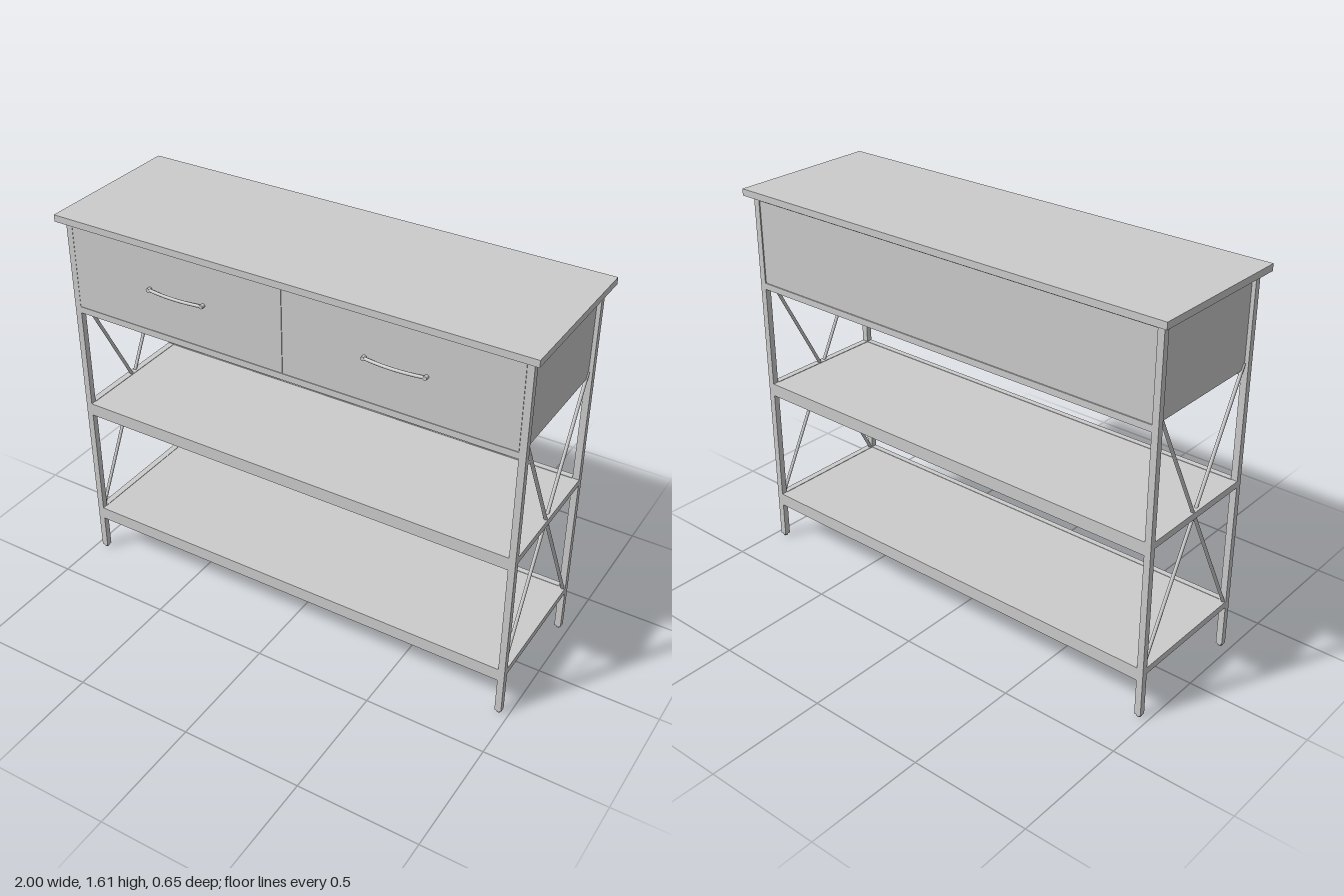
import * as THREE from 'three';

export function createModel() {
  const root = new THREE.Group();
  const mat = new THREE.MeshStandardMaterial({ color: 0xcccccc });

  const add = (name, geometry) => {
    const mesh = new THREE.Mesh(geometry, mat);
    mesh.name = name;
    root.add(mesh);
    return mesh;
  };
  // Box given by its minimum and maximum corners
  const box = (name, x0, x1, y0, y1, z0, z1) => {
    const mesh = add(name, new THREE.BoxGeometry(x1 - x0, y1 - y0, z1 - z0));
    mesh.position.set((x0 + x1) / 2, (y0 + y1) / 2, (z0 + z1) / 2);
    return mesh;
  };
  // Thin round rod between two points
  const rod = (name, a, b, r) => {
    const d = b.clone().sub(a);
    const mesh = add(name, new THREE.CylinderGeometry(r, r, d.length(), 12));
    mesh.position.copy(a).add(b).multiplyScalar(0.5);
    mesh.quaternion.setFromUnitVectors(new THREE.Vector3(0, 1, 0), d.normalize());
  };

  const legIn = 0.945, legOut = 0.972, zIn = 0.268, zOut = 0.293;
  const topY = 1.585;

  // Table top
  box('tableTop', -1, 1, topY, 1.613, -0.325, 0.325);

  // Legs with small rounded feet
  for (const sx of [-1, 1]) {
    for (const sz of [-1, 1]) {
      const x = sx * (legIn + legOut) / 2, z = sz * (zIn + zOut) / 2;
      const leg = add('leg', new THREE.BoxGeometry(legOut - legIn, topY - 0.01, zOut - zIn));
      leg.position.set(x, (topY + 0.01) / 2, z);
      const foot = add('foot', new THREE.CylinderGeometry(0.0125, 0.009, 0.01, 16));
      foot.position.set(x, 0.005, z);
    }
  }

  // Two open shelves: board, end rails and deeper front and back rails
  for (const [name, y] of [['lowerShelf', 0.22], ['middleShelf', 0.76]]) {
    box(name, -legIn, legIn, y - 0.028, y - 0.002, -zIn, zIn);
    for (const s of [-1, 1]) {
      const x = s * (legIn + legOut) / 2, z = s * (zIn + zOut) / 2;
      box(name + 'EndRail', x - 0.0135, x + 0.0135, y - 0.028, y, -zIn, zIn);
      box(name + 'LongRail', -legIn, legIn, y - 0.055, y, z - 0.0125, z + 0.0125);
    }
  }

  // Drawer case: floor, back, ends and rails
  box('caseFloor', -legIn, legIn, 1.217, 1.23, -zIn, zIn);
  box('caseBack', -legIn, legIn, 1.217, 1.57, -0.288, -0.272);
  for (const s of [-1, 1]) {
    const x = s * (legIn + legOut) / 2, z = s * (zIn + zOut) / 2;
    box('caseEnd', s * 0.95 - 0.006, s * 0.95 + 0.006, 1.217, topY, -zIn, zIn);
    box('caseEndRail', x - 0.0135, x + 0.0135, 1.567, topY, -zIn, zIn);
    box('caseLowerRail', -legIn, legIn, 1.19, 1.217, z - 0.0125, z + 0.0125);
  }
  box('caseBackRail', -legIn, legIn, 1.567, topY, -zOut, -zIn);

  for (const s of [-1, 1]) {
    // Drawer fronts, parted by a hairline gap
    const front = box('drawerFront', 0, legIn - 0.002, 1.219, topY - 0.002, 0.27, 0.293);
    front.position.x = s * (legIn / 2);

    // Bowed handle with round mounting ends
    const cx = s * 0.465;
    const path = new THREE.QuadraticBezierCurve3(
      new THREE.Vector3(cx - 0.122, 1.4, 0.303),
      new THREE.Vector3(cx, 1.4, 0.325),
      new THREE.Vector3(cx + 0.122, 1.4, 0.303));
    add('handleBar', new THREE.TubeGeometry(path, 24, 0.0065, 10));
    for (const e of [-1, 1]) {
      const end = add('handleEnd', new THREE.CylinderGeometry(0.008, 0.008, 0.02, 16));
      end.rotation.x = Math.PI / 2;
      end.position.set(cx + e * 0.122, 1.4, 0.3);
    }

    // Crossed braces on each end
    for (const d of [-1, 1]) {
      const x = s * 0.958 + d * 0.004;
      rod('crossBrace', new THREE.Vector3(x, 0.218, -d * 0.265),
        new THREE.Vector3(x, 1.24, d * 0.268), 0.007);
    }
  }
  return root;
}
